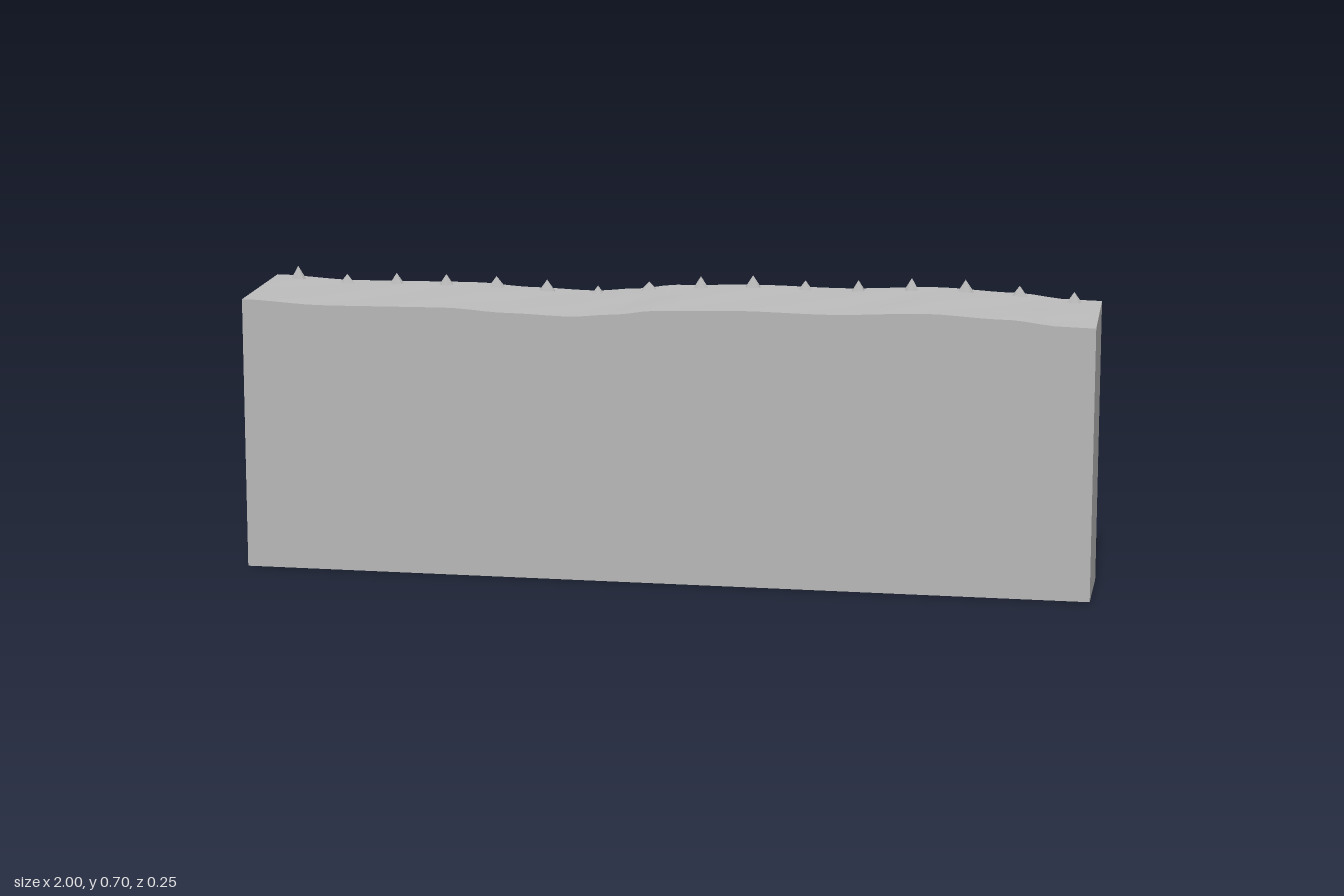
import * as THREE from 'three';

// Height of the front edge along x
const edge = [
  [-1, 0.643], [-0.8, 0.633], [-0.5, 0.634], [-0.35, 0.625], [-0.2, 0.62], [-0.1, 0.627], [0, 0.638],
  [0.2, 0.642], [0.4, 0.638], [0.62, 0.645], [0.8, 0.636], [0.93, 0.623], [1, 0.621],
];
const DEPTH = 0.25;

function edgeHeight(x) {
  let i = 0;
  while (i < edge.length - 2 && x > edge[i + 1][0]) i++;
  const [x0, y0] = edge[i], [x1, y1] = edge[i + 1];
  const t = THREE.MathUtils.clamp((x - x0) / (x1 - x0), 0, 1);
  return y0 + (y1 - y0) * t * t * (3 - 2 * t);
}

// Top surface: rises to the back, with faint diagonal ripples away from the borders
function groundHeight(x, z) {
  const inside = Math.max(0, 1 - (z / 0.125) ** 2) * Math.min(1, (1 - Math.abs(x)) * 10);
  return edgeHeight(x) + 0.035 * (0.5 - z / DEPTH) + 0.0015 * inside * Math.sin(22 * (x + z));
}

export function createModel() {
  const group = new THREE.Group();
  const stone = new THREE.MeshStandardMaterial({ color: 0xb8b8b8 });
  stone.name = 'grey stone';
  const spikeStone = new THREE.MeshStandardMaterial({ color: 0xb8b8b8, flatShading: true });
  spikeStone.name = 'grey spike stone';

  // Block with an uneven sloping top
  const block = new THREE.BoxGeometry(2, 1, DEPTH, 64, 1, 8);
  const pos = block.attributes.position;
  for (let i = 0; i < pos.count; i++) {
    pos.setY(i, pos.getY(i) > 0 ? groundHeight(pos.getX(i), pos.getZ(i)) : 0);
  }
  block.computeVertexNormals();
  const wall = new THREE.Mesh(block, stone);
  wall.name = 'wallBlock';
  group.add(wall);

  // Row of small flattened spikes near the back edge
  const spikes = new THREE.Group();
  spikes.name = 'spikeRow';
  const tips = [0.03, 0.021, 0.025, 0.025, 0.025, 0.026, 0.018, 0.02, 0.027, 0.028, 0.022, 0.025, 0.028, 0.028, 0.023, 0.024];
  const widths = [0.021, 0.022, 0.021, 0.021, 0.024, 0.023, 0.018, 0.024, 0.021, 0.022, 0.02, 0.019, 0.02, 0.022, 0.021, 0.021];
  const sink = 0.006;
  tips.forEach((tip, i) => {
    const x = -0.9375 + 0.125 * i, z = -0.1;
    const h = tip + sink;
    const cone = new THREE.ConeGeometry(1, h, 7);
    cone.rotateY(i * 1.3);
    cone.scale(widths[i] * 1.05, 1, 0.0135);
    cone.translate(x, groundHeight(x, z) - sink + h / 2, z);
    const spike = new THREE.Mesh(cone, spikeStone);
    spike.name = 'spike' + (i + 1);
    spikes.add(spike);
  });
  group.add(spikes);
  return group;
}
